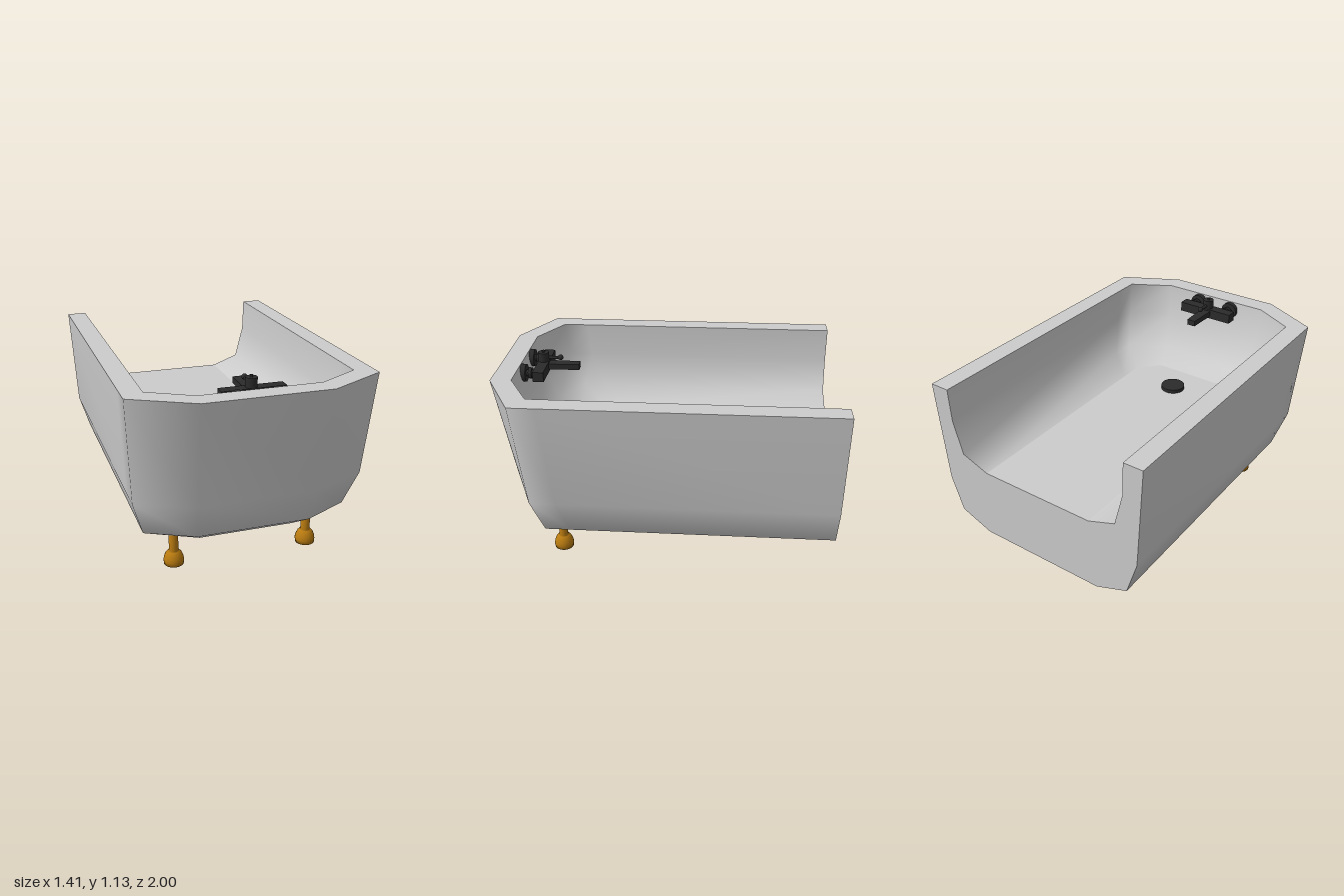
import * as THREE from 'three';

const grey = new THREE.MeshStandardMaterial({ color: 0xcccccc });
const black = new THREE.MeshStandardMaterial({ color: 0x2b2b2b });
const gold = new THREE.MeshStandardMaterial({ color: 0xb87a10 });

// Tub levels from rim to base: height, half width, corner z, end z, half width of the end
const OUTER = [
  [1.09, 0.705, 0.82, 1.0, 0.36],
  [0.47, 0.667, 0.755, 0.89, 0.345],
  [0.255, 0.6, 0.69, 0.82, 0.33],
  [0.175, 0.4, 0.58, 0.7, 0.28],
];
const INNER = [
  [1.09, 0.588, 0.745, 0.88, 0.345],
  [0.89, 0.582, 0.72, 0.85, 0.335],
  [0.685, 0.53, 0.62, 0.75, 0.3],
  [0.622, 0.36, 0.48, 0.6, 0.24],
];
const CUT = -1;

// Plan outline of one level, running from the cut round the end and back
function outline([, w, zc, ze, f]) {
  const half = [[w, CUT], [w, zc - 0.15], [w, zc], [f, ze]];
  return [...half, ...half.map(([x, z]) => [-x, z]).reverse()];
}

function add(parent, name, geometry, material, x = 0, y = 0, z = 0) {
  const mesh = new THREE.Mesh(geometry, material);
  mesh.name = name;
  mesh.position.set(x, y, z);
  parent.add(mesh);
  return mesh;
}

// Smooth wall lofted through the levels
function wall(levels, inward) {
  const pos = [], index = [];
  const n = outline(levels[0]).length;
  levels.forEach((level, i) => {
    outline(level).forEach(([x, z]) => pos.push(x, level[0], z));
    if (i === 0) return;
    for (let j = 0; j < n - 1; j++) {
      const a = (i - 1) * n + j, b = a + 1, c = a + n, d = c + 1;
      if (inward) index.push(a, c, b, b, c, d);
      else index.push(a, b, c, b, d, c);
    }
  });
  const g = new THREE.BufferGeometry();
  g.setAttribute('position', new THREE.Float32BufferAttribute(pos, 3));
  g.setIndex(index);
  g.computeVertexNormals();
  return g;
}

function flat(points) {
  return new THREE.ShapeGeometry(new THREE.Shape(points.map(([x, y]) => new THREE.Vector2(x, y))));
}
const flipZ = (points) => points.map(([x, z]) => [x, -z]);

// Half cross-section mirrored into a full U
function section(levels) {
  const half = levels.map(([y, w]) => [w, y]);
  return [...half, ...half.map(([x, y]) => [-x, y]).reverse()];
}

function buildTub() {
  const tub = new THREE.Group();
  tub.name = 'tub';
  add(tub, 'outerWall', wall(OUTER, false), grey);
  add(tub, 'innerWall', wall(INNER, true), grey);
  const base = OUTER[3], floor = INNER[3];
  add(tub, 'underside', flat(outline(base)).rotateX(Math.PI / 2), grey, 0, base[0], 0);
  add(tub, 'floor', flat(flipZ(outline(floor))).rotateX(-Math.PI / 2), grey, 0, floor[0], 0);
  const rim = [...outline(OUTER[0]), ...outline(INNER[0]).reverse()];
  add(tub, 'rim', flat(flipZ(rim)).rotateX(-Math.PI / 2), grey, 0, OUTER[0][0], 0);
  const cut = [...section(OUTER), ...section(INNER).reverse()];
  add(tub, 'cutFace', flat(cut).rotateY(Math.PI), grey, 0, 0, CUT);
  return tub;
}

function buildFaucet() {
  const faucet = new THREE.Group();
  faucet.name = 'faucet';
  faucet.position.set(-0.015, 1.035, 0);
  add(faucet, 'faucetBody', new THREE.BoxGeometry(0.365, 0.06, 0.065), black, 0.007, 0, 0.768);

  // Wall connectors: neck, nut and flange on each side
  for (const x of [-0.11, 0.125]) {
    const disc = (name, r, z0, z1, sides) =>
      add(faucet, name, new THREE.CylinderGeometry(r, r, z1 - z0, sides).rotateX(Math.PI / 2),
        black, x, 0, (z0 + z1) / 2);
    disc('connectorNeck', 0.02, 0.79, 0.86, 16);
    disc('connectorNut', 0.036, 0.815, 0.835, 6);
    disc('wallFlange', 0.053, 0.848, 0.882, 24);
  }

  // Spout narrows towards its outlet
  const spout = new THREE.Shape([[-0.033, -0.74], [0.033, -0.74], [0.027, -0.55], [-0.027, -0.55]]
    .map(([x, y]) => new THREE.Vector2(x, y)));
  const spoutGeometry = new THREE.ExtrudeGeometry(spout, { depth: 0.035, bevelEnabled: false });
  add(faucet, 'spout', spoutGeometry.rotateX(-Math.PI / 2), black, 0, -0.015, 0);

  // Lever cap and its arm
  add(faucet, 'leverCap', new THREE.CylinderGeometry(0.033, 0.033, 0.06, 24), black, 0, 0.055, 0.768);
  const arm = add(faucet, 'leverArm', new THREE.CylinderGeometry(0.01, 0.01, 0.11, 12), black, 0, 0.051, 0.71);
  arm.rotation.x = Math.PI / 2;
  add(faucet, 'leverKnob', new THREE.SphereGeometry(0.017, 16, 12), black, 0, 0.053, 0.665);
  add(faucet, 'capButton', new THREE.CylinderGeometry(0.009, 0.009, 0.012, 12), black, 0, 0.09, 0.768);
  return faucet;
}

export function createModel() {
  const model = new THREE.Group();
  model.name = 'bathtub';
  model.add(buildTub(), buildFaucet());

  add(model, 'drain', new THREE.CylinderGeometry(0.075, 0.075, 0.025, 32), black, 0.01, 0.633, 0.39);

  // Turned feet under the closed end
  const profile = [[0, 0], [0.057, 0], [0.059, 0.025], [0.055, 0.045], [0.046, 0.066], [0.034, 0.08],
    [0.027, 0.083], [0.027, 0.23], [0, 0.23]].map(([r, y]) => new THREE.Vector2(r, y));
  for (const x of [-0.413, 0.4]) {
    add(model, 'foot', new THREE.LatheGeometry(profile, 24), gold, x, 0, 0.63);
  }
  return model;
}
